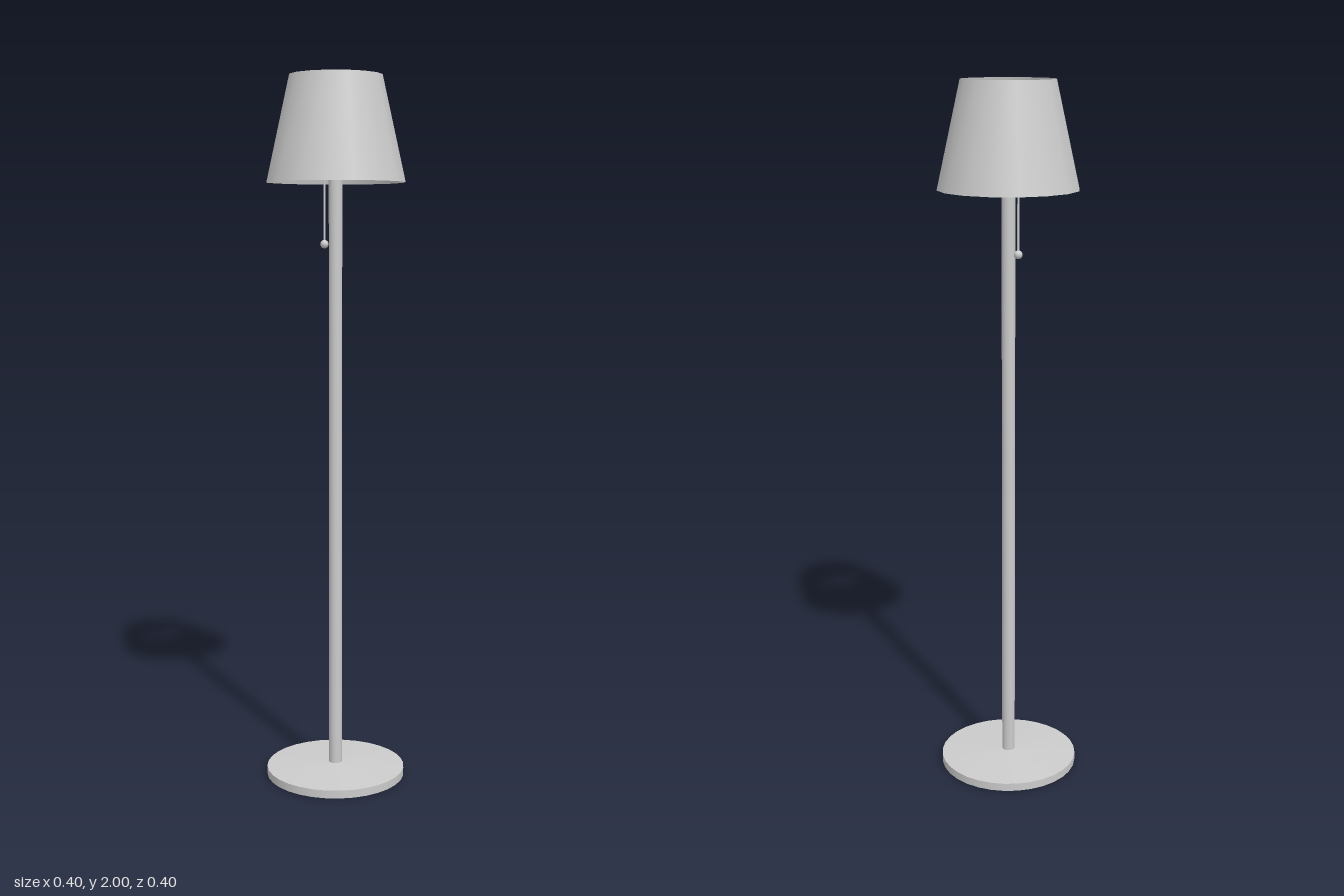
import * as THREE from 'three';

export function createModel() {
  const lamp = new THREE.Group();
  lamp.name = 'floorLamp';
  const grey = new THREE.MeshStandardMaterial({ color: 0xcccccc });
  const thin = new THREE.MeshStandardMaterial({ color: 0xcccccc, side: THREE.DoubleSide });

  const add = (name, geometry, y, z = 0, material = grey) => {
    const mesh = new THREE.Mesh(geometry, material);
    mesh.name = name;
    mesh.position.set(0, y, z);
    lamp.add(mesh);
  };
  // Upright cylinder or cone frustum between two heights
  const column = (name, rTop, rBottom, y0, y1, sides, z = 0, open = false) =>
    add(name, new THREE.CylinderGeometry(rTop, rBottom, y1 - y0, sides, 1, open),
      (y0 + y1) / 2, z, open ? thin : grey);

  // Round foot with a gently rising top
  column('base', 0.2, 0.2, 0.002, 0.025, 32);
  column('baseTop', 0.02, 0.2, 0.025, 0.035, 32);

  // Pole, running through the foot
  column('pole', 0.019, 0.019, 0, 1.75, 16);

  // Bulb on its holder plate
  column('bulbHolder', 0.058, 0.058, 1.727, 1.735, 32);
  add('bulb', new THREE.SphereGeometry(0.033, 24, 16), 1.777);

  // Pull cord with end bead, behind the pole
  column('pullCord', 0.003, 0.003, 1.54, 1.73, 8, -0.052);
  add('pullBead', new THREE.SphereGeometry(0.012, 12, 8), 1.54, -0.052);

  // Open, tapered shade
  column('shade', 0.13, 0.195, 1.71, 2, 16, 0, true);

  return lamp;
}
